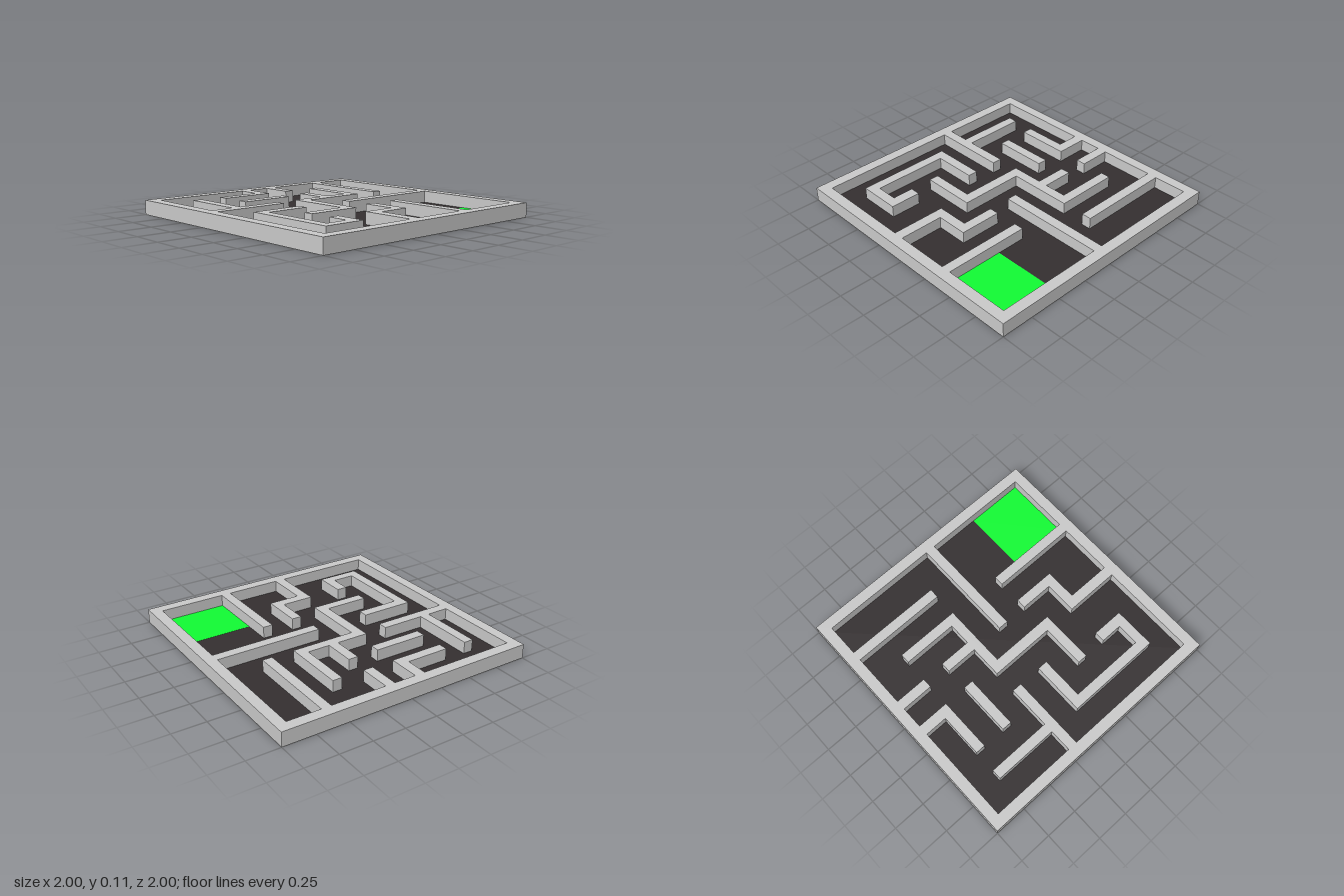
import * as THREE from 'three';

const HEIGHT = 0.11, FLOOR = 0.02, INNER = 0.917;

export function createModel() {
  const model = new THREE.Group();
  model.name = 'mazeBoard';
  const grey = new THREE.MeshStandardMaterial({ color: 0xcccccc });
  const dark = new THREE.MeshStandardMaterial({ color: 0x353031 });
  const green = new THREE.MeshStandardMaterial({ color: 0x11fd34 });

  // Block between two corners, given as x, z and y ranges
  const block = (name, material, [x0, x1, z0, z1], y0, y1, parent = model) => {
    const mesh = new THREE.Mesh(new THREE.BoxGeometry(x1 - x0, y1 - y0, z1 - z0), material);
    mesh.position.set((x0 + x1) / 2, (y0 + y1) / 2, (z0 + z1) / 2);
    mesh.name = name;
    parent.add(mesh);
  };

  const square = (Type, r) => new Type([[-r, -r], [r, -r], [r, r], [-r, r]].map(([x, y]) => new THREE.Vector2(x, y)));

  // Outer frame
  const outline = square(THREE.Shape, 1);
  outline.holes.push(square(THREE.Path, INNER));
  const frameGeometry = new THREE.ExtrudeGeometry(outline, { depth: HEIGHT, bevelEnabled: false });
  frameGeometry.rotateX(-Math.PI / 2);
  const frame = new THREE.Mesh(frameGeometry, grey);
  frame.name = 'outerFrame';
  model.add(frame);

  // Base, dark floor and goal square
  const inside = [-INNER, INNER, -INNER, INNER];
  block('base', grey, inside, 0, FLOOR - 0.005);
  block('floor', dark, inside, FLOOR - 0.005, FLOOR);
  block('goal', green, [0.41, INNER, 0.475, INNER], FLOOR, FLOOR + 0.001);

  // Inner walls: each run is a list of [x0, x1, z0, z1] pieces that meet without overlap
  const runs = {
    westWall: [[-INNER, -0.337, -0.25, -0.175], [-0.745, -0.67, -0.745, -0.25]],
    northHook: [[-0.5, -0.085, -0.745, -0.67], [-0.165, -0.085, -INNER, -0.745]],
    northStub: [[0.085, 0.16, -INNER, -0.67]],
    northEastWall: [[0.585, 0.66, -INNER, -0.175]],
    islandWall: [[-0.5, -0.085, -0.495, -0.42]],
    centreWall: [
      [-0.165, 0.41, -0.25, -0.175], [0.085, 0.16, -0.495, -0.25], [0.335, 0.41, -0.67, -0.25],
      [-0.165, -0.085, -0.175, 0.25], [-0.5, -0.085, 0.25, 0.325],
    ],
    spiralWall: [
      [-0.745, -0.337, 0, 0.077], [-0.745, -0.67, 0.077, 0.665],
      [-0.745, -0.42, 0.665, 0.74], [-0.5, -0.42, 0.5, 0.665],
    ],
    eastWall: [[0.085, INNER, 0, 0.077]],
    southStep: [[0.085, 0.16, 0.25, 0.5], [-0.165, 0.16, 0.5, 0.577], [-0.165, -0.085, 0.577, INNER]],
    goalWall: [[0.335, 0.41, 0.25, INNER]],
  };
  for (const [name, pieces] of Object.entries(runs)) {
    const run = new THREE.Group();
    run.name = name;
    pieces.forEach((piece, i) => block(`${name}Piece${i + 1}`, grey, piece, FLOOR, HEIGHT, run));
    model.add(run);
  }
  return model;
}
